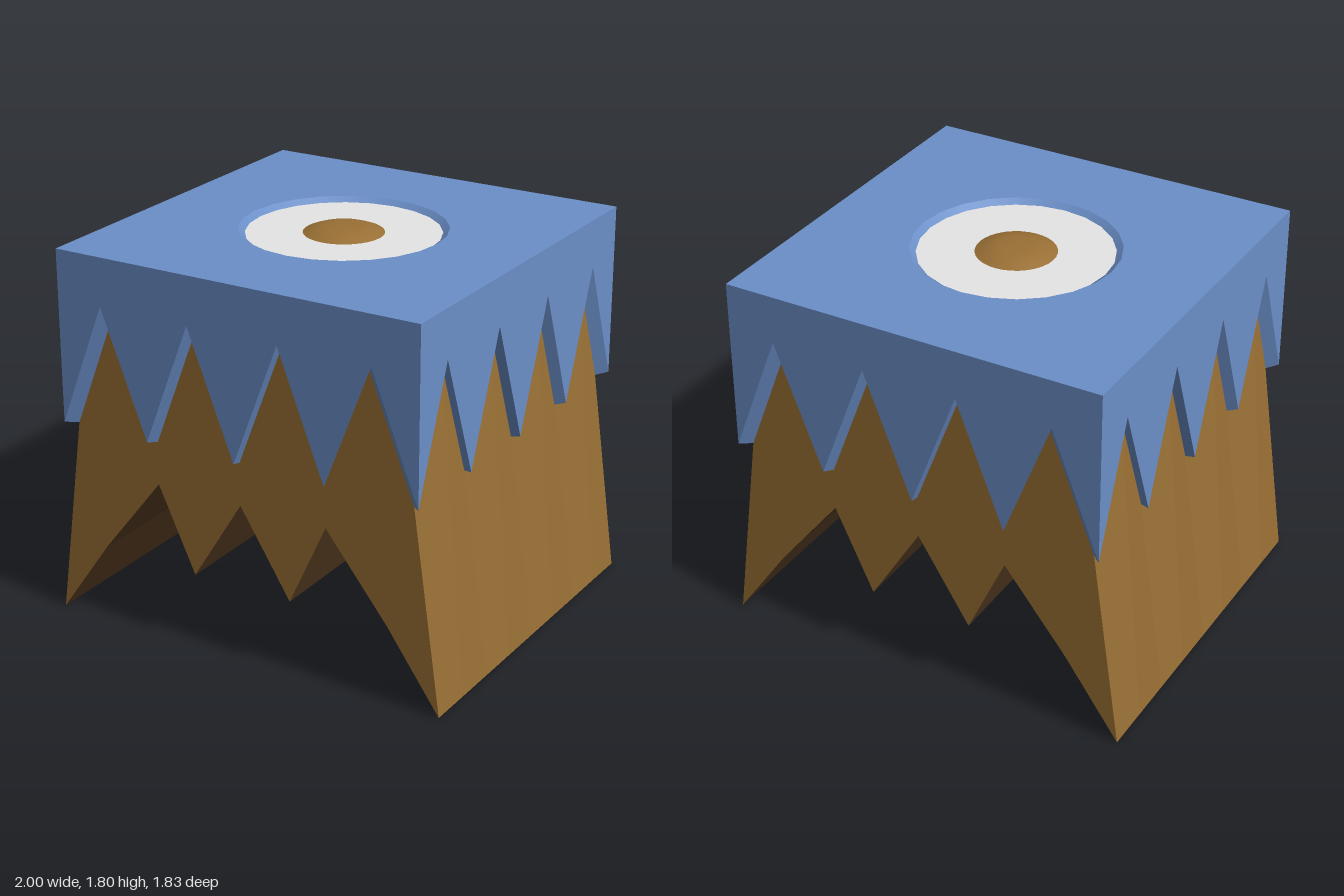
import * as THREE from 'three';

const TOP = 1.787, OUT = 0.913, INN = 0.866, PLATE = 1.765;

// Surface joining two rows of points; each quad is shaded as one facet.
function strip(A, B) {
  const pos = [], nor = [];
  for (let i = 0; i < A.length - 1; i++) {
    const [a, b, c, d] = [A[i], B[i], B[i + 1], A[i + 1]].map((p) => new THREE.Vector3(...p));
    const n = c.clone().sub(a).cross(d.clone().sub(b)).normalize();
    const corners = i % 2 ? [a, b, d, d, b, c] : [a, b, c, a, c, d];
    for (const p of corners) {
      pos.push(p.x, p.y, p.z);
      nor.push(n.x, n.y, n.z);
    }
  }
  const g = new THREE.BufferGeometry();
  g.setAttribute('position', new THREE.Float32BufferAttribute(pos, 3));
  g.setAttribute('normal', new THREE.Float32BufferAttribute(nor, 3));
  return g;
}

// Four-notched zigzag running from -half to +half.
function zigzag(half, low, high) {
  return Array.from({ length: 9 }, (_, i) => [-half + (i * half) / 4, i % 2 ? high : low]);
}

const points = (pts) => pts.map((p) => new THREE.Vector2(...p));
const polygon = (pts) => new THREE.ShapeGeometry(new THREE.Shape(points(pts)));

function material(name, color) {
  const m = new THREE.MeshStandardMaterial({ color });
  m.name = name;
  return m;
}

export function createModel() {
  const blue = material('blue', 0x6b8fc8);
  const brown = material('brown', 0x9a7035);
  const darkBrown = material('darkBrown', 0x5a3f25);
  const pale = material('paleGrey', 0xe6e6e6);

  const model = new THREE.Group();
  const add = (name, geo, mat, turn = 0) => {
    const m = new THREE.Mesh(geo, mat);
    m.name = name;
    m.rotation.y = turn;
    model.add(m);
  };

  const outer = zigzag(OUT, 0.97, 1.56);
  const inner = zigzag(INN, 0.96, 1.52);

  // Cover: four hanging zigzag walls with tapered cut edges
  const wall = polygon([...outer, [OUT, TOP], [-OUT, TOP]]).translate(0, 0, OUT);
  const edge = strip(outer.map((p) => [...p, OUT]), inner.map((p) => [...p, INN]));
  for (let k = 0; k < 4; k++) {
    add('coverWall', wall, blue, (k * Math.PI) / 2);
    add('coverCutEdge', edge, blue, (k * Math.PI) / 2);
  }

  // Cover top with a round recess
  const square = new THREE.Shape(points([[-OUT, -OUT], [OUT, -OUT], [OUT, OUT], [-OUT, OUT]]));
  const hole = new THREE.Path();
  hole.absarc(0, 0, 0.475, 0, Math.PI * 2, true);
  square.holes.push(hole);
  add('coverTop', new THREE.ShapeGeometry(square, 12).rotateX(-Math.PI / 2).translate(0, TOP, 0), blue);
  add('recessRim', new THREE.LatheGeometry(points([[0.475, TOP], [0.445, PLATE]]), 24), blue);
  add('recessPlate', new THREE.CircleGeometry(0.445, 24).rotateX(-Math.PI / 2).translate(0, PLATE, 0), pale);

  // Low dome in the middle of the recess: sloped shoulder and flatter crown
  const dome = [[0.185, PLATE], [0.155, 1.777], [0.12, 1.789], [0.08, 1.795], [0, 1.797]];
  add('dome', new THREE.LatheGeometry(points(dome), 32), brown);

  // Body: flat front and back faces with a pointed lower edge
  const lower = [[-1, 0], [-0.74, 0.37], [-0.435, 0.755], [-0.25, 0.355], [0, 0.755],
    [0.25, 0.355], [0.435, 0.755], [0.74, 0.37], [1, 0]];
  const face = polygon([...lower, ...[...inner].reverse()]).translate(0, 0, INN);
  add('bodyFront', face, brown);
  add('bodyBack', face, brown, Math.PI);

  // Dark underside following the pointed lower edge
  add('bodyUnderside', strip(lower.map((p) => [...p, INN]), lower.map((p) => [...p, -INN])), darkBrown);

  // Body: pleated sides flaring out to a straight bottom edge
  const side = strip(inner.map((p) => [...p, INN]), inner.map(([u]) => [u, 0, 1]));
  add('bodyLeftSide', side, brown, Math.PI / 2);
  add('bodyRightSide', side, brown, -Math.PI / 2);

  return model;
}
